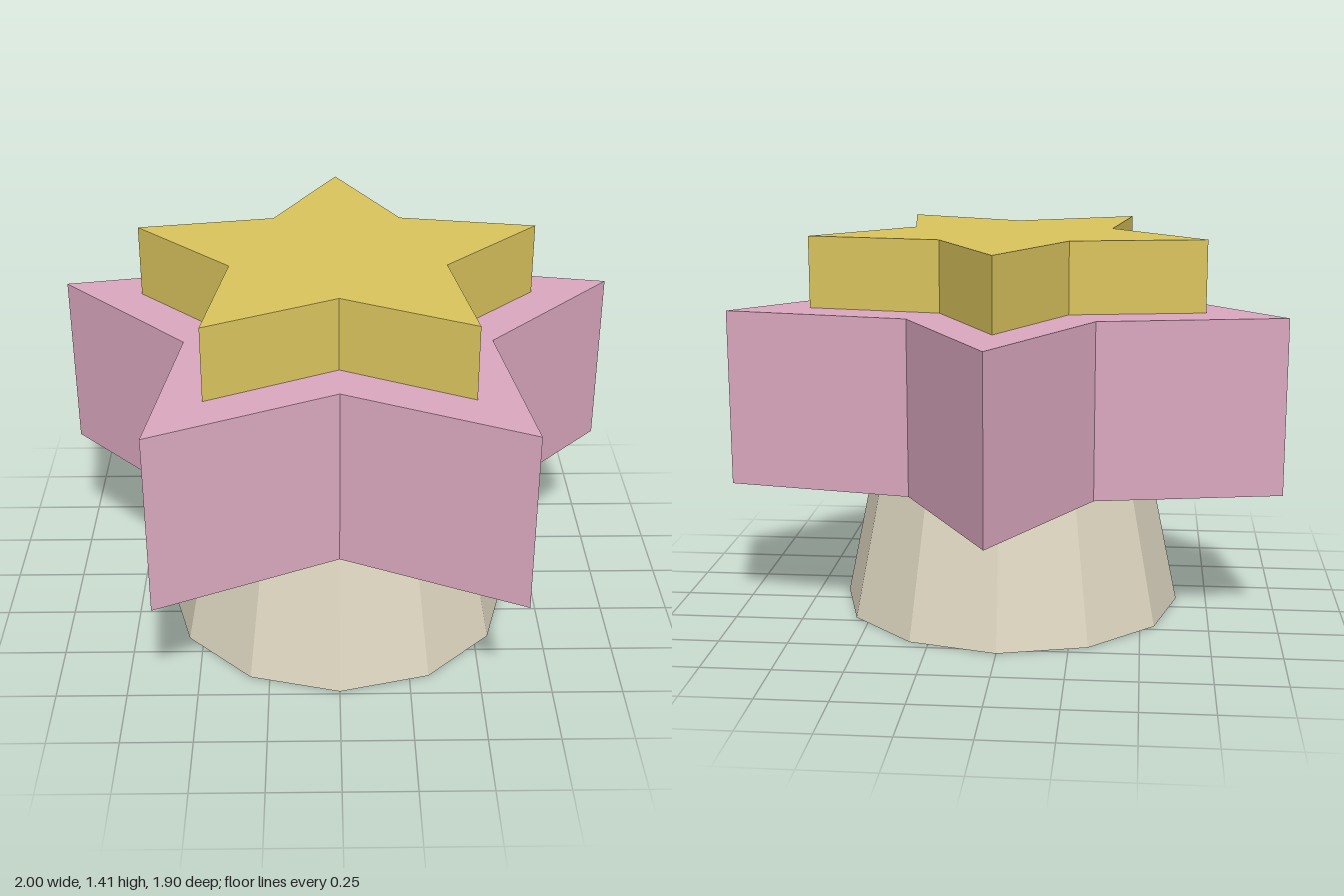
import * as THREE from 'three';

const CENTRE_Z = 0.1;
const material = (name, color) => Object.assign(new THREE.MeshStandardMaterial({ color }), { name });

// Upright five-pointed star prism with one point facing the back
function starPrism(name, outer, inner, bottom, top, mat) {
  const points = [];
  for (let i = 0; i < 10; i++) {
    const r = i % 2 ? inner : outer;
    const a = Math.PI / 2 + (i * Math.PI) / 5;
    points.push(new THREE.Vector2(r * Math.cos(a), r * Math.sin(a)));
  }
  const geometry = new THREE.ExtrudeGeometry(new THREE.Shape(points), {
    depth: top - bottom,
    bevelEnabled: false,
  });
  geometry.rotateX(-Math.PI / 2);
  const mesh = new THREE.Mesh(geometry, mat);
  mesh.name = name;
  mesh.position.set(0, bottom, CENTRE_Z);
  return mesh;
}

export function createModel() {
  const cream = material('cream', 0xddd6c0);
  const pink = material('pink', 0xdca9c0);
  const gold = material('gold', 0xdcc55e);
  cream.flatShading = true;

  const group = new THREE.Group();
  group.name = 'starPedestal';

  // Tapered twelve-sided foot
  const foot = new THREE.Mesh(new THREE.CylinderGeometry(0.53, 0.637, 0.51, 12), cream);
  foot.name = 'foot';
  foot.position.set(0, 0.255, CENTRE_Z);
  group.add(foot);

  // Large star body and smaller star cap
  group.add(starPrism('starBody', 1.051, 0.56, 0.51, 1.15, pink));
  group.add(starPrism('starCap', 0.75, 0.39, 1.15, 1.41, gold));
  return group;
}
